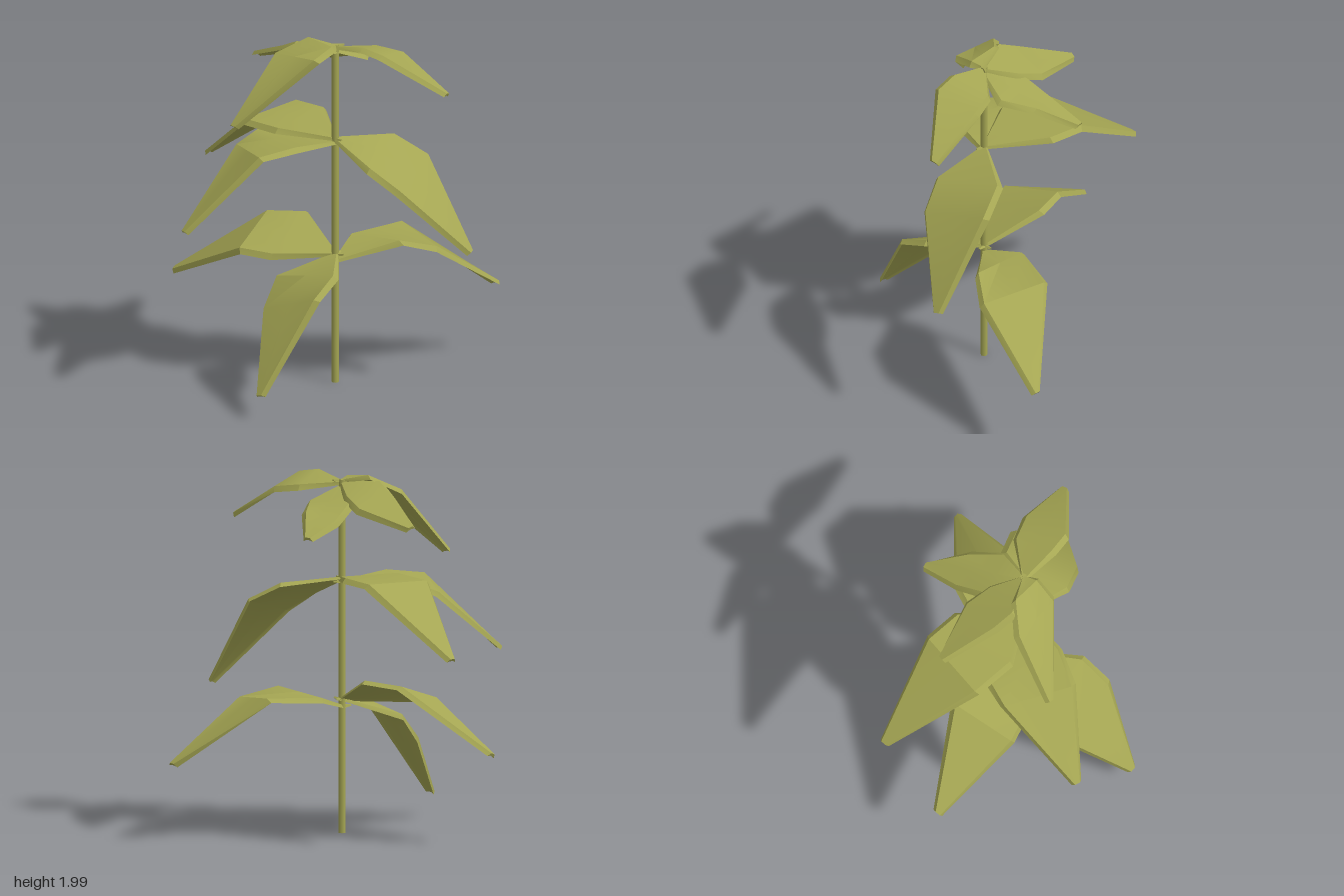
import * as THREE from 'three';
import { toCreasedNormals } from 'three/addons/utils/BufferGeometryUtils.js';

const V = (a) => new THREE.Vector3(...a);
const STEM_X = 0.188, STEM_Z = 0.047;

// Each leaf: height at the stem, left edge (2 points), right edge (2 points), tip.
const TIERS = {
  lower: [
    { y: 0.75, left: [[-0.02, 0.75, 0.34], [-0.2, 0.76, 0.415]], right: [[-0.13, 0.9, -0.06], [-0.33, 0.88, 0.04]], tip: [-0.73, 0.52, 0.38] },
    { y: 0.75, left: [[0.43, 0.735, 0.28], [0.46, 0.65, 0.465]], right: [[0.0, 0.645, 0.34], [0.04, 0.495, 0.48]], tip: [0.335, 0.145, 0.79] },
    { y: 0.71, left: [[0.07, 0.78, -0.17], [0.15, 0.8, -0.49]], right: [[0.445, 0.815, -0.22], [0.545, 0.755, -0.4]], tip: [0.51, 0.435, -0.885] },
  ],
  middle: [
    { y: 1.42, left: [[-0.07, 1.455, 0.255], [-0.33, 1.445, 0.255]], right: [[-0.11, 1.47, -0.185], [-0.32, 1.46, -0.185]], tip: [-0.82, 1.09, 0.03] },
    { y: 1.4, left: [[0.2, 1.435, 0.35], [0.12, 1.41, 0.56]], right: [[-0.245, 1.415, 0.23], [-0.265, 1.355, 0.37]], tip: [-0.155, 1.0, 0.885] },
    { y: 1.42, left: [[0.32, 1.405, -0.29], [0.49, 1.305, -0.385]], right: [[0.49, 1.315, 0.095], [0.64, 1.195, 0.01]], tip: [0.825, 0.81, -0.375] },
  ],
  upper: [
    { y: 1.95, left: [[0.0, 1.97, 0.185], [-0.12, 1.91, 0.17]], right: [[0.03, 1.89, -0.07], [-0.12, 1.84, -0.095]], tip: [-0.42, 1.77, 0.05] },
    { y: 1.96, left: [[0.25, 1.97, 0.11], [0.25, 1.93, 0.25]], right: [[0.035, 1.995, 0.13], [-0.07, 1.91, 0.28]], tip: [-0.075, 1.555, 0.58] },
    { y: 1.95, left: [[0.3, 1.93, -0.175], [0.44, 1.91, -0.245]], right: [[0.4, 2.0, 0.065], [0.53, 1.975, 0.035]], tip: [0.755, 1.74, -0.26] },
    { y: 1.93, left: [[-0.04, 1.86, -0.06], [-0.1, 1.78, -0.2]], right: [[0.24, 1.86, -0.16], [0.1, 1.83, -0.3]], tip: [-0.115, 1.72, -0.43] },
  ],
};

// Thin solid leaf with a turned-down rim, lofted through five cross-sections.
function leafGeometry({ y, left, right, tip }) {
  const base = V([STEM_X, y, STEM_Z]), end = V(tip);
  const across = V(right[0]).sub(V(left[0])).normalize();
  const spread = (p, w) => [p.clone().addScaledVector(across, -w), p.clone().addScaledVector(across, w)];
  // The pointed stalk end passes slightly through the stem
  const stalk = base.clone().sub(end).setY(0).setLength(0.05).add(base);
  const pairs = [
    spread(stalk, 0.006),
    spread(base, 0.018),
    [V(left[0]), V(right[0])],
    [V(left[1]), V(right[1])],
    spread(end, 0.03),
  ];
  const thickness = [0.008, 0.016, 0.028, 0.028, 0.024];
  const last = pairs.length - 1;
  const mids = pairs.map(([l, r]) => l.clone().lerp(r, 0.5));
  const pos = [], index = [];
  pairs.forEach(([l, r], s) => {
    const mid = mids[s];
    const dir = mids[Math.min(s + 1, last)].clone().sub(mids[Math.max(s - 1, 0)]);
    const side = r.clone().sub(l);
    const down = dir.cross(side).normalize();
    const inset = Math.min(0.025, side.length() * 0.25) / side.length();
    const at = (t, depth) => l.clone().lerp(r, t).addScaledVector(down, depth * thickness[s]);
    const ring = [
      at(inset, 0), mid, at(1 - inset, 0), at(1, 1),
      at(1 - inset, 0.7), at(0.5, 0.6), at(inset, 0.7), at(0, 1),
    ];
    ring.forEach((p) => pos.push(p.x, p.y, p.z));
  });
  for (let s = 0; s < last; s++) {
    for (let i = 0; i < 8; i++) {
      const a = s * 8 + i, b = s * 8 + (i + 1) % 8;
      index.push(a, b, b + 8, a, b + 8, a + 8);
    }
  }
  // End caps
  const cap = last * 8;
  for (let i = 1; i < 7; i++) index.push(0, i + 1, i, cap, cap + i, cap + i + 1);
  const geo = new THREE.BufferGeometry();
  geo.setAttribute('position', new THREE.Float32BufferAttribute(pos, 3));
  geo.setIndex(index);
  return toCreasedNormals(geo, 0.5);
}

export function createModel() {
  const plant = new THREE.Group();
  plant.name = 'plant';
  const leafGreen = new THREE.MeshStandardMaterial({ color: 0xa5a653 });
  leafGreen.name = 'olive green';

  // Upright stem
  const stem = new THREE.Mesh(new THREE.CylinderGeometry(0.02, 0.02, 1.96, 8), leafGreen);
  stem.name = 'stem';
  stem.position.set(STEM_X, 0.98, STEM_Z);
  plant.add(stem);

  // Leaves in three tiers
  for (const [tier, leaves] of Object.entries(TIERS)) {
    const group = new THREE.Group();
    group.name = `${tier}Leaves`;
    leaves.forEach((leaf, i) => {
      const mesh = new THREE.Mesh(leafGeometry(leaf), leafGreen);
      mesh.name = `${tier}Leaf${i + 1}`;
      group.add(mesh);
    });
    plant.add(group);
  }
  return plant;
}
